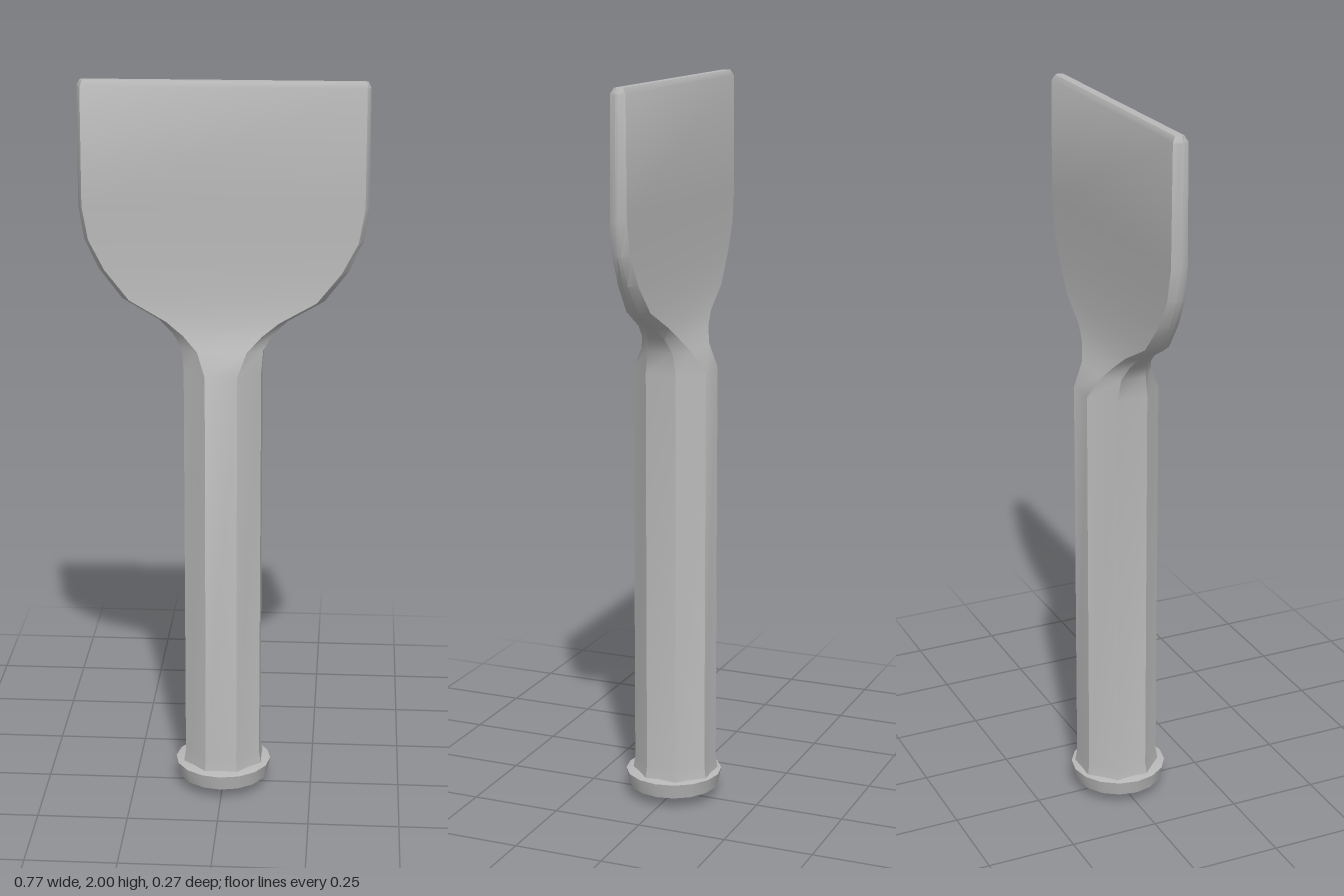
import * as THREE from 'three';
import { toCreasedNormals } from 'three/addons/utils/BufferGeometryUtils.js';

const CREASE = 0.6;

// Joins eight-sided sections [y, faceHalfWidth, faceZ, sideX, sideHalfDepth] into a closed skin.
function loft(sections) {
  const pos = [], index = [];
  for (const [y, fx, fz, sx, sz] of sections) {
    pos.push(sx, y, -sz, fx, y, -fz, -fx, y, -fz, -sx, y, -sz);
    pos.push(-sx, y, sz, -fx, y, fz, fx, y, fz, sx, y, sz);
  }
  const last = sections.length - 1;
  const bottom = pos.length / 3, top = bottom + 1;
  pos.push(0, sections[0][0], 0, 0, sections[last][0], 0);
  for (let j = 0; j < 8; j++) {
    const k = (j + 1) % 8;
    for (let i = 0; i < last; i++) {
      const a = i * 8 + j, b = i * 8 + k;
      index.push(a, b, b + 8, a, b + 8, a + 8);
    }
    index.push(k, j, bottom, last * 8 + j, last * 8 + k, top);
  }
  const g = new THREE.BufferGeometry();
  g.setAttribute('position', new THREE.Float32BufferAttribute(pos, 3));
  g.setIndex(index);
  return toCreasedNormals(g, CREASE);
}

export function createModel() {
  const group = new THREE.Group();
  group.name = 'chisel';
  const steel = new THREE.MeshStandardMaterial({ color: 0xb8b8b8 });
  steel.name = 'steel grey';

  // Octagonal shaft flowing into the wide flat blade
  const body = new THREE.Mesh(loft([
    [0.06, 0.047, 0.112, 0.112, 0.047],
    [0.11, 0.043, 0.105, 0.104, 0.043],
    [1.23, 0.043, 0.105, 0.104, 0.043],
    [1.29, 0.066, 0.071, 0.109, 0.036],
    [1.33, 0.105, 0.053, 0.134, 0.024],
    [1.365, 0.15, 0.043, 0.172, 0.015],
    [1.42, 0.25, 0.034, 0.27, 0.009],
    [1.5, 0.315, 0.028, 0.332, 0.006],
    [1.58, 0.357, 0.025, 0.37, 0.004],
    [1.67, 0.373, 0.023, 0.384, 0.003],
    [1.985, 0.372, 0.021, 0.382, 0.003],
    [2.0, 0.366, 0.012, 0.374, 0.003],
  ]), steel);
  body.name = 'shaftAndBlade';
  body.position.z = -0.005;
  group.add(body);

  // Flared striking head with a shallow domed underside
  const profile = [[0, 0], [0.06, 0.01], [0.125, 0.032], [0.134, 0.074], [0.105, 0.08], [0, 0.08]]
    .map(([x, y]) => new THREE.Vector2(x, y));
  const head = new THREE.Mesh(toCreasedNormals(new THREE.LatheGeometry(profile, 16), CREASE), steel);
  head.name = 'strikingHead';
  group.add(head);

  return group;
}
